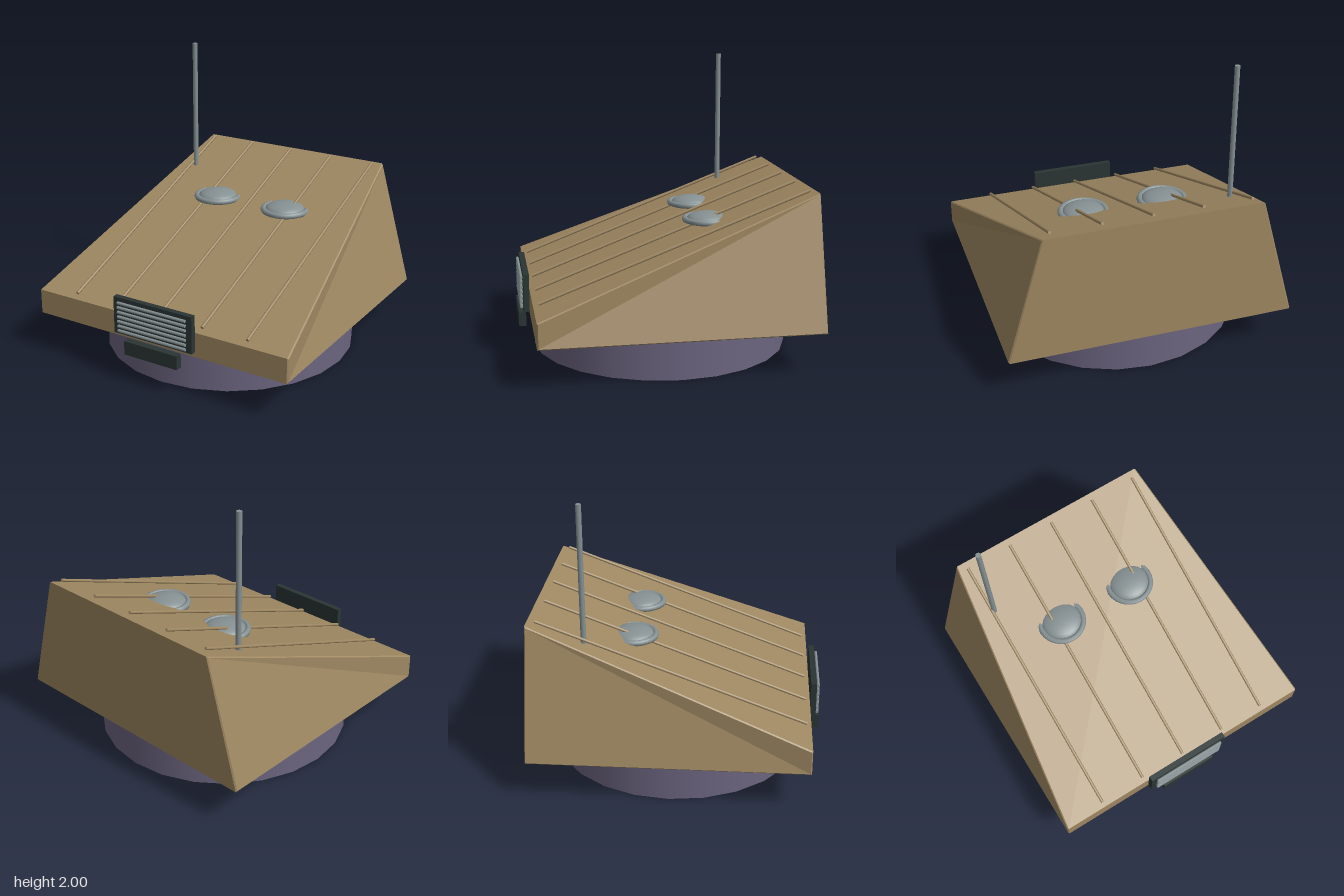
import * as THREE from 'three';

const mat = (name, color, side = THREE.FrontSide) => {
  const m = new THREE.MeshStandardMaterial({ color, side });
  m.name = name;
  return m;
};

export function createModel() {
  const brown = mat('brown', 0x9f8862);
  const purple = mat('purple', 0x6c6580);
  const dark = mat('dark green', 0x2a3634);
  const grey = mat('grey', 0x869193, THREE.DoubleSide);
  const group = new THREE.Group();

  const add = (name, geometry, material, x = 0, y = 0, z = 0) => {
    const mesh = new THREE.Mesh(geometry, material);
    mesh.name = name;
    mesh.position.set(x, y, z);
    group.add(mesh);
    return mesh;
  };

  // Round turntable base
  add('base', new THREE.CylinderGeometry(0.905, 0.905, 0.3, 24), purple, 0, 0.15, -0.032);

  // Wedge body: side profile extruded across x, narrowing toward the high back edge
  const front = 0.915, back = -0.985, bottom = 0.29, low = 0.467, high = 1.18;
  const profile = new THREE.Shape([
    [-front, bottom], [-back, bottom], [-back, high], [-front, low],
  ].map(([u, v]) => new THREE.Vector2(u, v)));
  const bevel = 0.008;
  const body = new THREE.ExtrudeGeometry(profile, {
    depth: 2 - 2 * bevel, bevelEnabled: true, bevelSize: bevel,
    bevelOffset: -bevel, bevelThickness: bevel, bevelSegments: 1,
  });
  body.translate(0, 0, -(1 - bevel));
  body.rotateY(Math.PI / 2);
  const pos = body.attributes.position;
  for (let i = 0; i < pos.count; i++) {
    const t = Math.max(0, (pos.getY(i) - low) / (high - low));
    pos.setX(i, pos.getX(i) * (1 - 0.25 * t));
  }
  body.computeVertexNormals();
  add('body', body, brown);

  // Thin ribs running up the sloping roof
  const start = new THREE.Vector3(0, 0.499, 0.882);
  const end = new THREE.Vector3(0, 1.191, -0.928);
  const along = end.clone().sub(start);
  const mid = start.clone().add(end).multiplyScalar(0.5);
  for (const x of [-0.687, -0.344, 0, 0.344, 0.687]) {
    const rib = add('roofRib', new THREE.CylinderGeometry(0.011, 0.011, along.length(), 8), brown, x, mid.y, mid.z);
    rib.quaternion.setFromUnitVectors(new THREE.Vector3(0, 1, 0), along.clone().normalize());
  }

  // Two hatches: a shallow dome inside a ring, partly sunk into the roof
  for (const x of [-0.287, 0.287]) {
    const dome = new THREE.SphereGeometry(0.145, 24, 8, 0, Math.PI * 2, 0, Math.PI / 2);
    dome.scale(1, 0.35, 1);
    add('hatchDome', dome, grey, x, 0.935, -0.325);
    const ring = new THREE.TorusGeometry(0.158, 0.021, 8, 28);
    ring.rotateX(Math.PI / 2);
    add('hatchRing', ring, grey, x, 0.934, -0.325);
  }

  // Antenna
  add('antenna', new THREE.CylinderGeometry(0.019, 0.019, 0.98, 8), grey, -0.67, 1.51, -0.61);

  // Front grille with round bars
  add('grillePlate', new THREE.BoxGeometry(0.626, 0.266, 0.04), dark, 0, 0.463, 0.94);
  for (let i = 0; i < 7; i++) {
    const bar = new THREE.CylinderGeometry(0.011, 0.011, 0.544, 8);
    bar.rotateZ(Math.PI / 2);
    add('grilleBar', bar, grey, 0, 0.357 + i * 0.0342, 0.972);
  }

  // Lower block under the grille
  add('lowerBlock', new THREE.BoxGeometry(0.426, 0.1, 0.05), dark, 0, 0.25, 0.965);

  return group;
}
